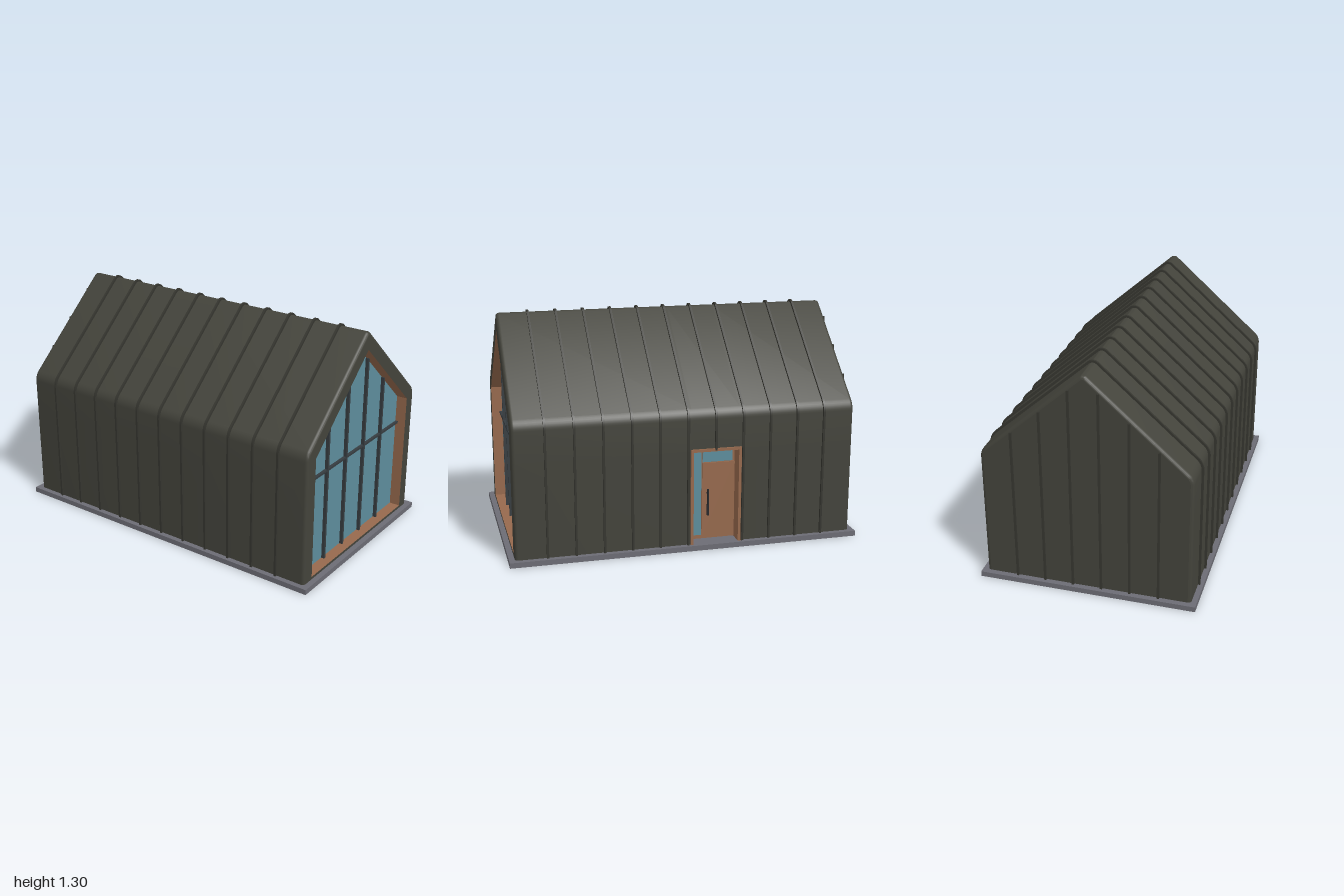
import * as THREE from 'three';
import { toCreasedNormals } from 'three/addons/utils/BufferGeometryUtils.js';

const mat = (name, color, side = THREE.FrontSide) => {
  const m = new THREE.MeshStandardMaterial({ color, side });
  m.name = name;
  return m;
};

const BASE = 0.03, HALF = 0.58, END = 0.968, BEVEL = 0.018;
const EAVE_R = 0.08, RIDGE_R = 0.03, EAVE_Y = 0.75, RIDGE_Y = 1.26;
const ROOF_ANGLE = 0.845; // direction of the roof normal above horizontal
const DOOR = { z0: -0.306, z1: -0.014, top: 0.584, t: 0.016, back: 0.505, front: 0.59 };

// House outline, right wall over the ridge to the left wall, inset by d
function profile(d, startY = BASE) {
  const right = [[HALF - d, startY], [HALF - d, DOOR.top - 0.008]];
  const arc = (cx, cy, r, a0, a1, n) => {
    for (let i = 0; i <= n; i++) {
      const a = a0 + (a1 - a0) * i / n;
      right.push([cx + r * Math.cos(a), cy + r * Math.sin(a)]);
    }
  };
  arc(HALF - EAVE_R, EAVE_Y, EAVE_R - d, 0, ROOF_ANGLE, 6);
  arc(0, RIDGE_Y, RIDGE_R - d, ROOF_ANGLE, Math.PI / 2, 3);
  const left = right.slice(0, -1).reverse().map(([x, y]) => [-x, y]);
  if (startY !== BASE) left[left.length - 1][1] = BASE;
  return right.concat(left);
}

const toShape = (pts) => new THREE.Shape(pts.map((p) => new THREE.Vector2(...p)));

// Surface through rings of points, given in order of increasing z
function loft(rings, skip = () => false) {
  const pos = [];
  for (let k = 0; k < rings.length - 1; k++) {
    const A = rings[k], B = rings[k + 1];
    for (let i = 0; i < A.pts.length - 1; i++) {
      if (skip(k, i)) continue;
      const a = [...A.pts[i], A.z], b = [...A.pts[i + 1], A.z];
      const c = [...B.pts[i + 1], B.z], d = [...B.pts[i], B.z];
      pos.push(...a, ...b, ...c, ...a, ...c, ...d);
    }
  }
  const g = new THREE.BufferGeometry();
  g.setAttribute('position', new THREE.Float32BufferAttribute(pos, 3));
  return toCreasedNormals(g, 0.5);
}

export function createModel() {
  const model = new THREE.Group();
  model.name = 'cabin';
  const cladding = mat('dark cladding', 0x43433b);
  const seamMat = mat('dark seam', 0x35352f);
  const wood = mat('wood', 0x96694d);
  const glass = mat('blue glass', 0x5d8d9c);
  const metal = mat('window metal', 0x363c40);
  const handleMat = mat('black handle', 0x25272a);
  const concrete = mat('grey concrete', 0x6c6c74);

  const add = (name, geo, material, parent = model) => {
    const m = new THREE.Mesh(geo, material);
    m.name = name;
    parent.add(m);
    return m;
  };
  // Box from its minimum and maximum corners
  const box = (name, material, x0, x1, y0, y1, z0, z1, parent) => {
    const m = add(name, new THREE.BoxGeometry(x1 - x0, y1 - y0, z1 - z0), material, parent);
    m.position.set((x0 + x1) / 2, (y0 + y1) / 2, (z0 + z1) / 2);
    return m;
  };
  const group = (name) => {
    const g = new THREE.Group();
    g.name = name;
    model.add(g);
    return g;
  };

  box('foundation', concrete, -0.61, 0.61, 0, BASE, -1, 1);

  // Shell with rounded ends and a gap in the right wall for the door
  const rings = [], N = 4;
  for (let i = 0; i <= N; i++) {
    const a = (i / N) * Math.PI / 2;
    rings.push({ z: -END + BEVEL * (1 - Math.cos(a)), pts: profile(BEVEL * (1 - Math.sin(a))) });
  }
  const front = rings.map((r) => ({ z: -r.z, pts: r.pts })).reverse();
  rings.push({ z: DOOR.z0 + 0.008, pts: profile(0) }, { z: DOOR.z1 - 0.008, pts: profile(0) }, ...front);
  add('shell', loft(rings, (k, i) => k === N + 1 && i === 0), cladding);

  // Gable walls, the front one with the window opening
  const opening = [[0.5, 0.045], [0.5, 0.746], [0, 1.19], [-0.5, 0.746], [-0.5, 0.045]];
  const frontShape = toShape(profile(BEVEL));
  frontShape.holes.push(toShape([...opening].reverse()));
  add('frontGable', new THREE.ShapeGeometry(frontShape), cladding).position.z = END;
  const back = add('backGable', new THREE.ShapeGeometry(toShape(profile(BEVEL))), cladding);
  back.position.z = -END;
  back.rotation.y = Math.PI;

  // Recessed front window: wooden reveal, pane and bars
  const frontWindow = group('frontWindow');
  const paneZ = 0.905;
  const reveal = [...opening, opening[0]].reverse();
  add('reveal', loft([{ z: paneZ - 0.01, pts: reveal }, { z: END, pts: reveal }]), wood, frontWindow);
  add('pane', new THREE.ShapeGeometry(toShape(opening)), glass, frontWindow).position.z = paneZ;
  for (const x of [-0.292, -0.097, 0.097, 0.292]) {
    box('mullion', metal, x - 0.007, x + 0.007, 0.045, 1.19 - 0.888 * Math.abs(x), paneZ - 0.01, paneZ + 0.018, frontWindow);
  }
  box('transom', metal, -0.5, 0.5, 0.578, 0.59, paneZ - 0.01, paneZ + 0.016, frontWindow);

  // Standing seams wrapping walls and roof; one stops above the door
  const seams = group('seams');
  for (let i = -5; i <= 5; i++) {
    const startY = i === -1 ? DOOR.top - 0.01 : BASE;
    const band = toShape([...profile(-0.012, startY), ...profile(0.004, startY).reverse()]);
    const geo = new THREE.ExtrudeGeometry(band, { depth: 0.012, bevelEnabled: false });
    add('roofSeam', toCreasedNormals(geo, 0.5), seamMat, seams).position.z = i * 0.158 - 0.006;
  }
  for (let i = 0; i < 6; i++) {
    const x = -0.4 + i * 0.16;
    box('backSeam', seamMat, x - 0.006, x + 0.006, BASE, 1.276 - 0.887 * Math.abs(x), -END - 0.011, -END + 0.004, seams);
  }

  // Recessed side entrance
  const door = group('entrance');
  const { z0, z1, top, t, back: xb, front: xf } = DOOR;
  box('doorJamb', wood, xb - 0.02, xf, BASE, top, z0, z0 + t, door);
  box('doorJamb', wood, xb - 0.02, xf, BASE, top, z1 - t, z1, door);
  box('doorHead', wood, xb - 0.02, xf, top - t, top, z0 + t, z1 - t, door);
  box('doorBacking', wood, xb - 0.02, xb, BASE, top - t, z0 + t, z1 - t, door);
  box('doorLeaf', wood, xb, xb + 0.008, BASE + 0.006, 0.48, z0 + t, -0.1, door);
  box('sidelight', glass, xb, xb + 0.004, 0.053, 0.562, -0.096, -0.037, door);
  box('doorTransomGlass', glass, xb, xb + 0.004, 0.484, 0.562, -0.278, -0.103, door);
  box('doorHandle', handleMat, xb + 0.018, xb + 0.028, 0.175, 0.33, -0.135, -0.125, door);
  for (const y of [0.2, 0.305]) {
    box('handleMount', handleMat, xb + 0.006, xb + 0.02, y - 0.004, y + 0.004, -0.134, -0.126, door);
  }
  return model;
}
